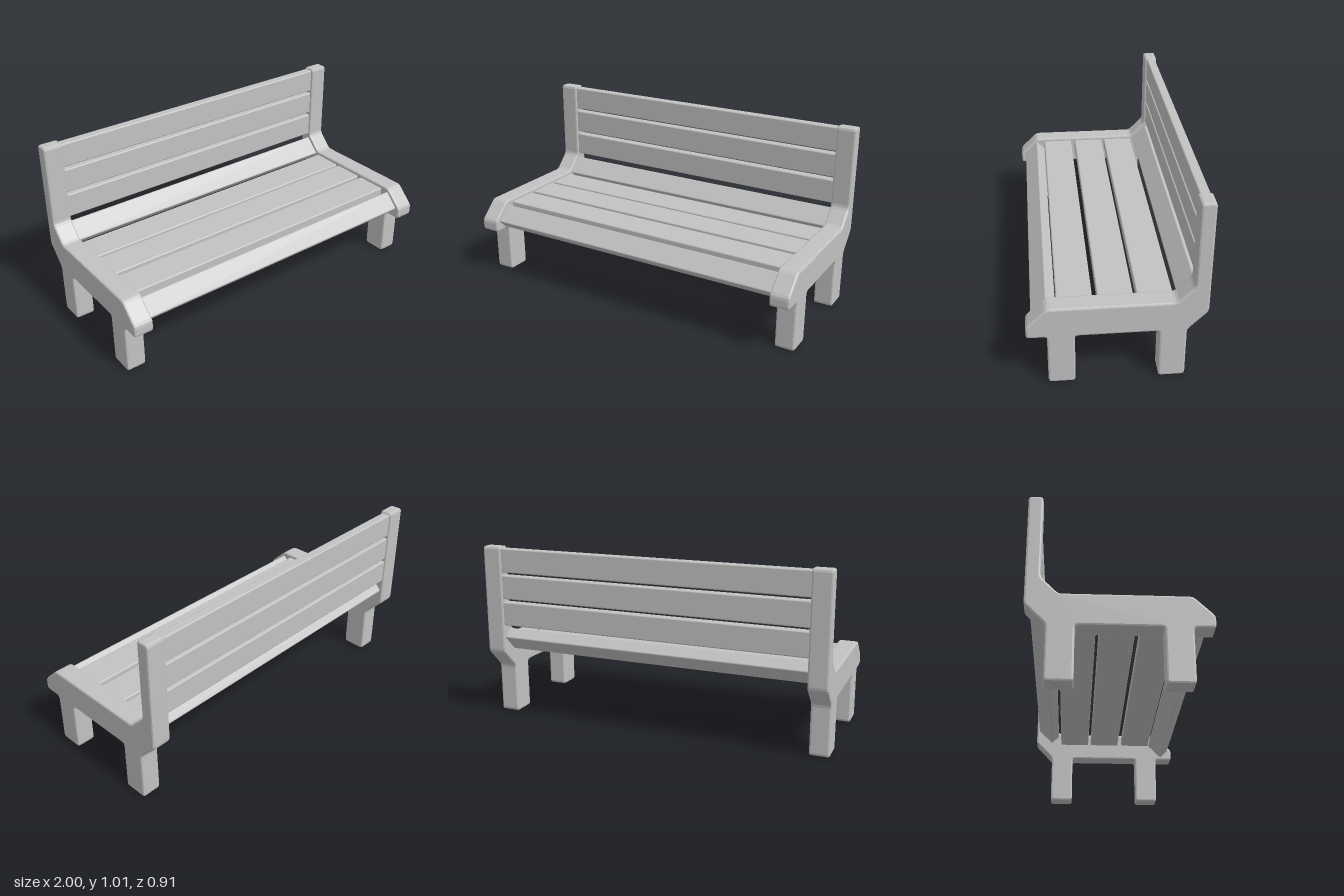
import * as THREE from 'three';
import { RoundedBoxGeometry } from 'three/addons/geometries/RoundedBoxGeometry.js';

const FRAME_WIDTH = 0.11;
const BEVEL = 0.01;
const SLAT_LENGTH = 1.79;

// End frame outline as [z, y], running round from the front tip
const OUTLINE = [
  [0.455, 0.288], [0.455, 0.355], [0.35, 0.457], [-0.29, 0.457],
  [-0.378, 0.547], [-0.378, 1.012], [-0.453, 1.012], [-0.453, 0.395],
  [-0.348, 0.288], [-0.348, 0], [-0.21, 0], [-0.21, 0.288],
  [0.212, 0.288], [0.212, 0], [0.35, 0], [0.35, 0.288],
];

// Shape with every corner cut and slightly rounded
function softShape(points, cut) {
  const corners = points.map(([x, y]) => new THREE.Vector2(x, y));
  const shape = new THREE.Shape();
  corners.forEach((p, i) => {
    const prev = corners[(i + corners.length - 1) % corners.length];
    const next = corners[(i + 1) % corners.length];
    const a = p.clone().add(prev.clone().sub(p).setLength(cut));
    const b = p.clone().add(next.clone().sub(p).setLength(cut));
    if (i === 0) shape.moveTo(a.x, a.y);
    else shape.lineTo(a.x, a.y);
    shape.quadraticCurveTo(p.x, p.y, b.x, b.y);
  });
  shape.closePath();
  return shape;
}

export function createModel() {
  const model = new THREE.Group();
  model.name = 'bench';
  const grey = new THREE.MeshStandardMaterial({ color: 0xc2c2c2 });
  grey.name = 'light grey';

  // End frames: legs, seat rail and back post in one piece
  const depth = FRAME_WIDTH - 2 * BEVEL;
  const frameGeometry = new THREE.ExtrudeGeometry(softShape(OUTLINE, 0.016), {
    depth, bevelEnabled: true, bevelThickness: BEVEL, bevelSize: BEVEL,
    bevelOffset: -BEVEL, bevelSegments: 2, curveSegments: 2,
  });
  frameGeometry.translate(0, 0, -depth / 2);
  frameGeometry.rotateY(-Math.PI / 2);
  for (const [name, side] of [['leftFrame', 1], ['rightFrame', -1]]) {
    const frame = new THREE.Mesh(frameGeometry, grey);
    frame.name = name;
    frame.position.x = side * (1 - FRAME_WIDTH / 2);
    model.add(frame);
  }

  // Slat: width across, thickness, centre and tilt about x
  function addSlat(name, width, thickness, y, z, tilt) {
    const slat = new THREE.Mesh(
      new RoundedBoxGeometry(SLAT_LENGTH, thickness, width, 2, 0.008), grey);
    slat.name = name;
    slat.position.set(0, y, z);
    slat.rotation.x = tilt;
    model.add(slat);
  }

  // Flat seat slats
  [-0.197, 0.002, 0.208].forEach((z, i) =>
    addSlat('seatSlat' + (i + 1), 0.182, 0.055, 0.411, z, 0));

  // Sloping slats at the front lip and under the back
  addSlat('frontSlat', 0.118, 0.07, 0.369, 0.365, Math.PI / 4);
  addSlat('lowerBackSlat', 0.125, 0.07, 0.463, -0.37, Math.PI / 4);

  // Upright back slats
  [0.624, 0.779, 0.933].forEach((y, i) =>
    addSlat('backSlat' + (i + 1), 0.138, 0.053, y, -0.417, Math.PI / 2));

  return model;
}
